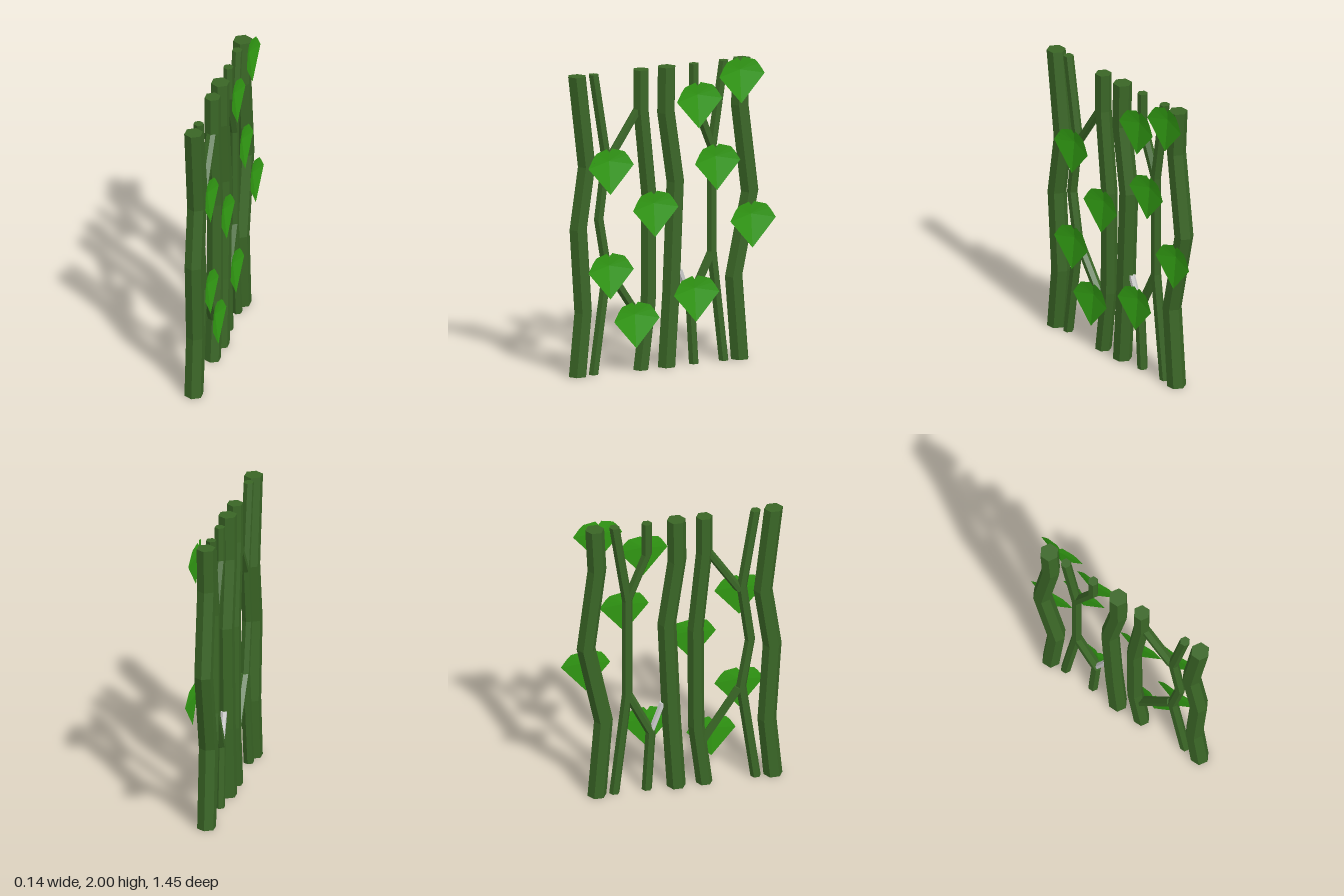
import * as THREE from 'three';

const mat = (color, side = THREE.FrontSide) =>
  new THREE.MeshStandardMaterial({ color, flatShading: true, side });

const STEM_X = -0.018;
const THICK = 0.0625, MEDIUM = 0.054, THIN = 0.034;

// Stems and branches: [name, radius, [[z, y], ...] from bottom to top]
const STEMS = [
  ['thickStem', THICK, [[0.66, 0], [0.62, 0.42], [0.655, 0.97], [0.595, 1.38], [0.665, 1.98]]],
  ['thinStem', THIN, [[0.545, 0], [0.45, 0.68], [0.508, 1.02], [0.455, 1.42], [0.545, 1.98]]],
  ['thinBranch', THIN, [[0.17, 0.27], [0.44, 0.68]]],
  ['thinBranch', THIN, [[0.44, 1.4], [0.2, 1.76]]],
  ['mediumStem', MEDIUM, [[0.205, 0], [0.152, 0.43], [0.148, 1.15], [0.205, 1.72], [0.205, 1.98]]],
  ['thickStem', THICK, [[0.02, 0], [-0.012, 0.5], [-0.042, 1.22], [0.025, 1.68], [0.02, 1.98]]],
  ['thinStem', THIN, [[-0.175, 0], [-0.15, 0.42], [-0.305, 0.73]]],
  ['thinStem', THIN, [[-0.39, 0], [-0.305, 0.73], [-0.305, 1.42], [-0.39, 1.98]]],
  ['thinBranch', THIN, [[-0.305, 1.42], [-0.175, 1.75], [-0.175, 1.98]]],
  ['thickStem', THICK, [[-0.505, 0], [-0.462, 0.55], [-0.577, 1.1], [-0.505, 1.68], [-0.52, 1.98]]],
];

// Leaves: [z, y of the tip, x of the fold]
const LEAVES = [
  [0.45, 0.495, 0.015], [0.45, 1.185, 0.015], [0.265, 0.155, 0.015],
  [0.14, 0.88, 0.037], [-0.165, 0.285, 0.015], [-0.185, 1.56, 0.018],
  [-0.305, 1.145, 0.037], [-0.48, 1.7, 0.037], [-0.56, 0.74, 0.037],
];

// Six-sided stem whose level rings follow a bent path
function stemGeometry(radius, path) {
  const n = path.length - 1;
  const geo = new THREE.CylinderGeometry(radius, radius, 1, 6, n);
  const pos = geo.attributes.position;
  for (let i = 0; i < pos.count; i++) {
    const [z, y] = path[Math.round((pos.getY(i) + 0.5) * n)];
    pos.setXYZ(i, pos.getX(i) + STEM_X, y, pos.getZ(i) + z);
  }
  const flat = geo.toNonIndexed();
  flat.computeVertexNormals();
  return flat;
}

// Leaf: a fan round a sunken middle, its rim bending outwards to +x
function leafGeometry() {
  const half = [ // x, y, z from the tip up to the notch
    [0.022, 0, 0], [0.03, 0.188, 0.163], [0.022, 0.25, 0.125],
    [0.018, 0.28, 0.1], [0.007, 0.302, 0.02], [0.003, 0.278, 0],
  ];
  const mirrored = half.slice(1, -1).reverse().map(([x, y, z]) => [x, y, -z]);
  const rim = [...half, ...mirrored];
  const middle = [0, 0.22, 0];
  const verts = [];
  rim.forEach((p, i) => verts.push(...middle, ...rim[(i + 1) % rim.length], ...p));
  const geo = new THREE.BufferGeometry();
  geo.setAttribute('position', new THREE.Float32BufferAttribute(verts, 3));
  geo.computeVertexNormals();
  return geo;
}

export function createModel() {
  const model = new THREE.Group();
  model.name = 'vines';
  const stemMat = mat(0x3a6626);
  const leafMat = mat(0x339f14, THREE.DoubleSide);

  const add = (name, geo, material) => {
    const mesh = new THREE.Mesh(geo, material);
    mesh.name = name;
    model.add(mesh);
    return mesh;
  };

  for (const [name, radius, path] of STEMS) add(name, stemGeometry(radius, path), stemMat);

  // Pale broken twig
  add('paleTwig', stemGeometry(0.022, [[-0.155, 0.4], [-0.07, 0.63]]), mat(0xcccccc));

  const leafGeo = leafGeometry();
  for (const [z, y, x] of LEAVES) add('leaf', leafGeo, leafMat).position.set(x, y, z);

  return model;
}
